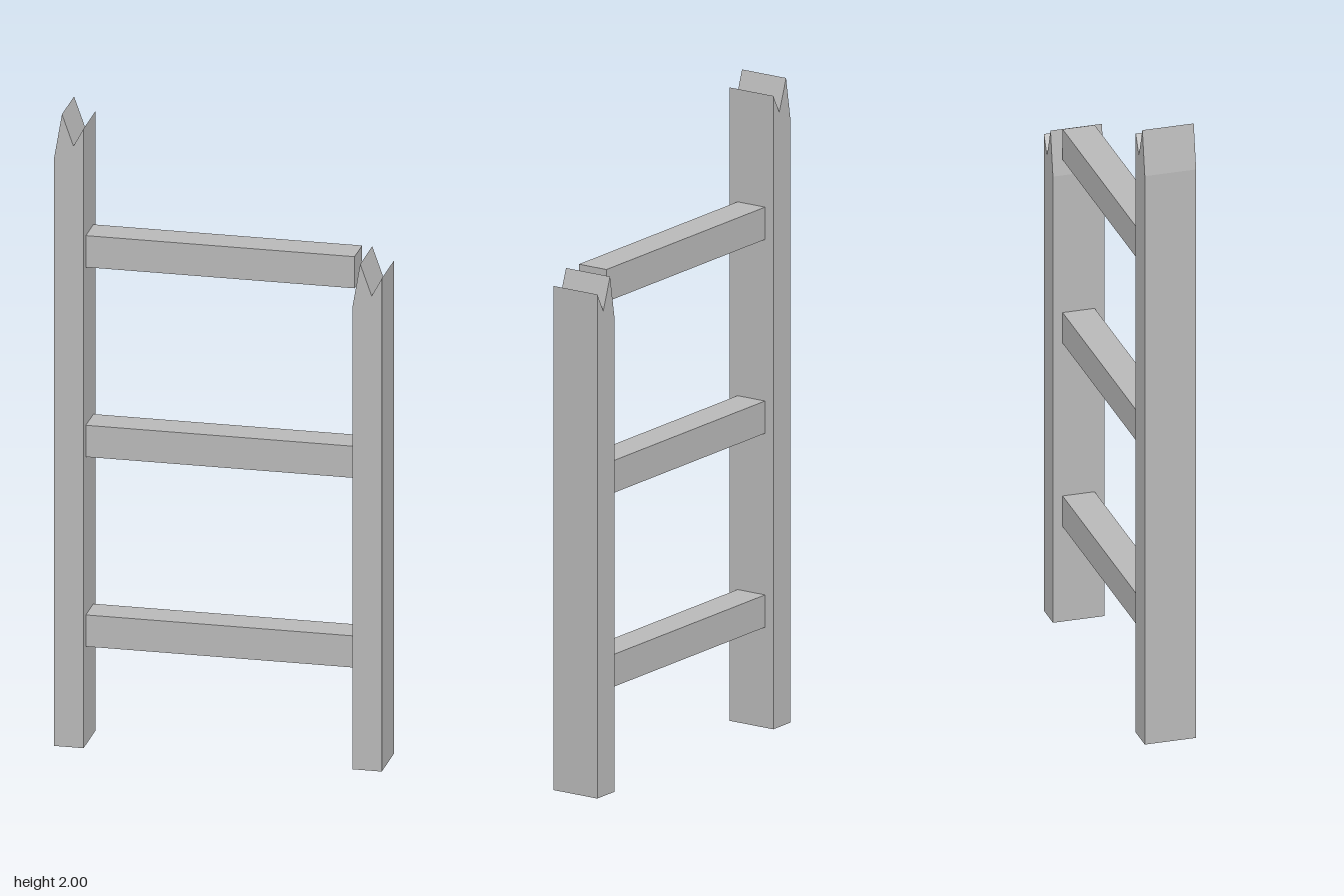
import * as THREE from 'three';

export function createModel() {
  const model = new THREE.Group();
  model.name = 'brokenLadder';
  const grey = new THREE.MeshStandardMaterial({ color: 0xb8b8b8 });
  grey.name = 'grey';

  const railWidth = 0.09, railDepth = 0.16;

  // Upright with a splintered top; x is its right-hand edge, height its tallest tip
  function addRail(name, x, height) {
    const outline = new THREE.Shape([
      [0, 0], [railWidth, 0],
      [railWidth, height - 0.04], [0.059, height - 0.098],
      [0.024, height], [0, height - 0.14],
    ].map(([px, py]) => new THREE.Vector2(px, py)));
    const geometry = new THREE.ExtrudeGeometry(outline, { depth: railDepth, bevelEnabled: false });
    const rail = new THREE.Mesh(geometry, grey);
    rail.name = name;
    rail.position.set(x, 0, -railDepth / 2);
    model.add(rail);
  }
  addRail('rightRail', -0.5, 2);
  addRail('leftRail', 0.41, 1.6);

  // Evenly spaced rungs between the rails
  const rungGeometry = new THREE.BoxGeometry(0.82, 0.1, 0.1);
  ['lowerRung', 'middleRung', 'upperRung'].forEach((name, i) => {
    const rung = new THREE.Mesh(rungGeometry, grey);
    rung.name = name;
    rung.position.y = 0.361 + i * 0.6;
    model.add(rung);
  });

  return model;
}
